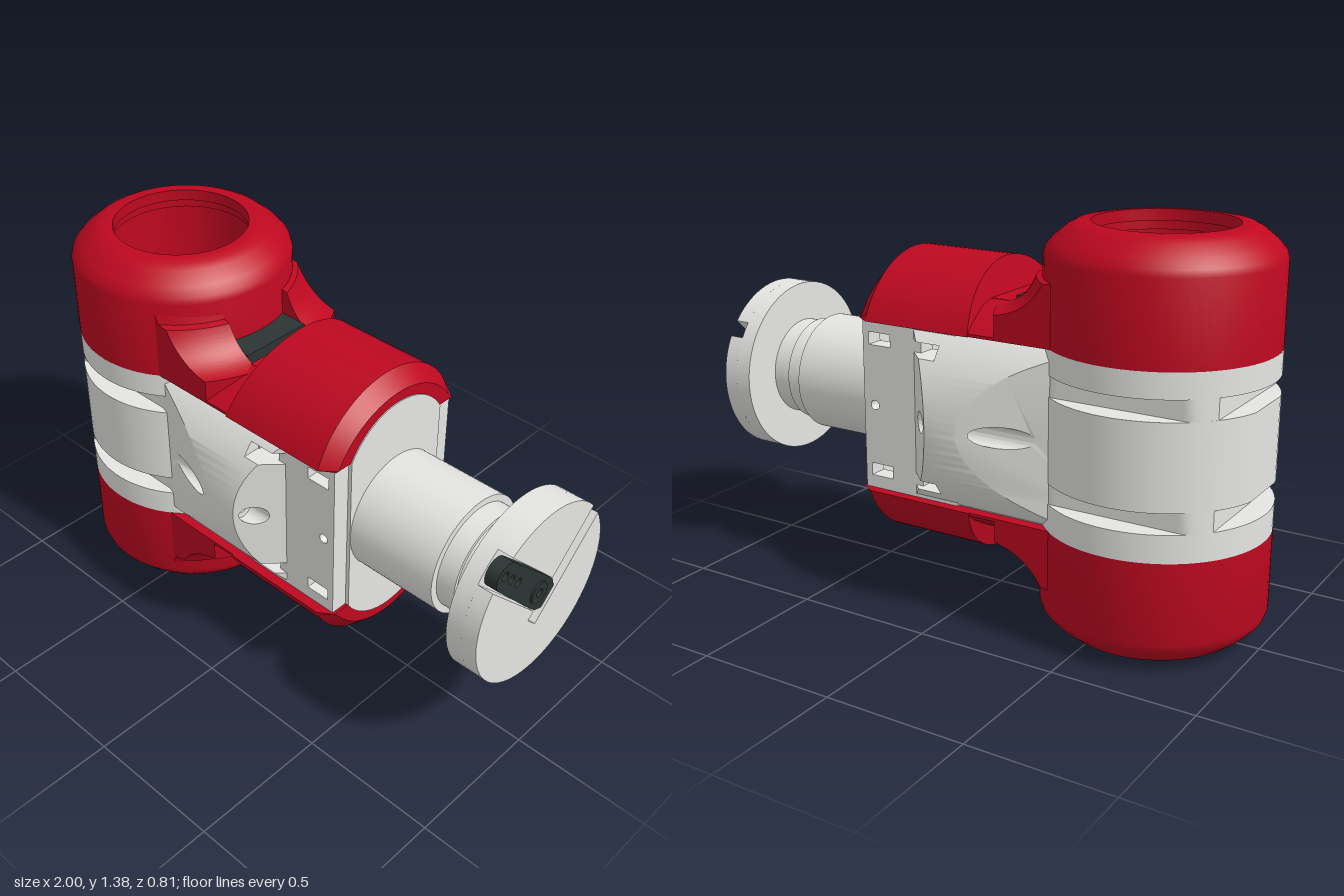
import * as THREE from 'three';
import { toCreasedNormals } from 'three/addons/utils/BufferGeometryUtils.js';

const red = new THREE.MeshStandardMaterial({ color: 0xbe0820 });
red.name = 'red shell';
const grey = new THREE.MeshStandardMaterial({ color: 0xe5e5e3 });
grey.name = 'light grey';
const dark = new THREE.MeshStandardMaterial({ color: 0x2b3533 });
dark.name = 'dark servo';

const CX = -0.615;   // axis of the upright barrel
const AXIS = 0.69;   // height of the output axis
const BORE = 0.26;
const DOME = 0.18;   // centre of the saddle arcs above the output axis

const poly = (pts) => new THREE.Shape(pts.map(([x, y]) => new THREE.Vector2(x, y)));
const extrude = (shape, depth, steps = 1) =>
  new THREE.ExtrudeGeometry(shape, { depth, steps, bevelEnabled: false, curveSegments: 32 });
const lathe = (pts) => new THREE.LatheGeometry(pts.map(([r, y]) => new THREE.Vector2(r, y)), 72);
const hole = (x, y, r) => new THREE.Path().absarc(x, y, r, 0, Math.PI * 2, true);

// Reshape a geometry by a rule on its vertices
function warp(geo, rule) {
  const p = geo.attributes.position, v = new THREE.Vector3();
  for (let i = 0; i < p.count; i++) {
    rule(v.fromBufferAttribute(p, i));
    p.setXYZ(i, v.x, v.y, v.z);
  }
  return geo;
}

// Points on an arc of the given radius about (0, cy), angles in radians
function arc(r, a0, a1, cy = 0, n = 32) {
  return Array.from({ length: n + 1 }, (_, i) => {
    const a = a0 + ((a1 - a0) * i) / n;
    return [r * Math.cos(a), cy + r * Math.sin(a)];
  });
}

export function createModel() {
  const model = new THREE.Group();
  const body = new THREE.Group();   // coordinates relative to the output axis
  body.name = 'jointBody';
  body.position.y = AXIS;
  model.add(body);

  function add(name, geo, mat, parent = body) {
    const m = new THREE.Mesh(toCreasedNormals(geo, 0.55), mat);
    m.name = name;
    parent.add(m);
    return m;
  }
  const box = (x0, x1, y0, y1, z0, z1) => new THREE.BoxGeometry(x1 - x0, y1 - y0, z1 - z0)
    .translate((x0 + x1) / 2, (y0 + y1) / 2, (z0 + z1) / 2);

  // Red shell: the upper half, then the same turned over for the lower half
  for (const s of [1, -1]) {
    const half = new THREE.Group();
    half.name = s > 0 ? 'upperShell' : 'lowerShell';
    if (s < 0) half.rotation.x = Math.PI;
    body.add(half);

    // Hollow barrel end with a rounded rim
    const cap = add('barrelCap', lathe([
      [BORE, 0.305], [0.385, 0.305], [0.385, 0.585], [0.378, 0.608], [0.355, 0.635], [0.31, 0.672],
      [0.285, 0.685], [0.255, 0.69], [0.235, 0.69], [0.235, 0.65], [0.245, 0.65], [0.245, 0.62],
      [BORE, 0.62], [BORE, 0.305],
    ]), red, half);
    cap.position.set(CX, 0, -0.01 * s);

    // Concave neck fillet curving round the barrel, either side of the servo slot
    const neck = poly([[-0.285, 0.305], [-0.07, 0.305], [-0.07, 0.39]]);
    neck.quadraticCurveTo(-0.165, 0.405, -0.205, 0.51);
    neck.lineTo(-0.23, 0.515);
    neck.lineTo(-0.245, 0.575);
    neck.lineTo(-0.285, 0.575);
    // Floor of the neck, falling away towards the flanks
    const floor = [[0.135, 0.305], [0.31, 0.305], [0.31, 0.315], [0.27, 0.345], [0.2, 0.385], [0.135, 0.4]];
    for (const side of [1, -1]) {
      const fillet = extrude(neck, 0.175, 10).translate(0, 0, side > 0 ? 0.135 : -0.31);
      add('neckFillet', warp(fillet, (v) => {
        v.x = CX + Math.sqrt((v.x - CX) ** 2 - v.z ** 2);
      }), red, half);
      const section = poly(floor.map(([z, y]) => [side * z, y]));
      add('neckFloor', extrude(section, 0.355).rotateY(Math.PI / 2).translate(-0.385, 0, 0), red, half);
    }
    add('neckBridge', box(-0.125, -0.02, 0.305, 0.4, -0.14, 0.14), red, half);

    // Domed saddle over the output housing, chamfered at its outer end
    const a = Math.asin((0.305 - DOME) / 0.34);
    const saddle = poly(arc(0.34, a, Math.PI - a, DOME));
    const geo = extrude(saddle, 0.425, 8).rotateY(Math.PI / 2).translate(-0.03, 0, 0);
    add('outputSaddle', warp(geo, (v) => {
      if (v.x > 0.39) {
        v.z *= 0.89;
        if (v.y > 0.31) v.y = Math.max(0.305, DOME + (v.y - DOME) * 0.84);
      } else if (v.x > 0.33) v.x = 0.345;
      else if (v.x < -0.02) v.x = -0.05 + (v.y - 0.4) * 0.2;
    }), red, half);
  }

  // Grey barrel band in layers; the slit layers are cut flat on three sides
  const bands = [
    [-0.305, -0.21, 0.4, 0.4], [-0.21, -0.14, 0.3, 0.305], [-0.14, 0.15, 0.4, 0.37],
    [0.15, 0.22, 0.3, 0.305], [0.22, 0.305, 0.4, 0.4],
  ];
  for (const [y0, y1, zMax, xMax] of bands) {
    const ring = poly(arc(0.385, 0, Math.PI * 2, 0, 96).slice(0, -1).map(([x, z]) =>
      [Math.max(-xMax, x), THREE.MathUtils.clamp(z, -zMax, zMax)]));
    ring.holes.push(hole(0, 0, BORE));
    add('barrelBand', extrude(ring, y1 - y0).rotateX(-Math.PI / 2).translate(CX, y0, -0.01), grey);
  }

  // Pierced side plate of the output housing
  const plate = poly([[0, -0.305], [0.385, -0.305], [0.385, 0.305], [0, 0.305]]);
  for (const x of [0.05, 0.27]) {
    for (const y of [-0.26, 0.215]) {
      plate.holes.push(poly([[x, y], [x, y + 0.045], [x + 0.09, y + 0.045], [x + 0.09, y]]));
    }
  }
  for (const x of [0.15, 0.34]) plate.holes.push(hole(x, 0, 0.017));

  // Ear bands: height range, and the slope of the outer end (none beside the windows)
  const earBands = [
    [-0.305, -0.26, 1], [-0.26, -0.215, 0], [-0.215, 0.215, 1], [0.215, 0.26, 0], [0.26, 0.305, 1],
  ];
  const seat = new THREE.Shape().absarc(0.355, 0, 0.036, 0, Math.PI * 2, false);
  seat.holes.push(hole(0.355, 0, 0.015));

  // Grey side walls, plates and bulging ears, mirrored front and back
  for (const s of [1, -1]) {
    const flank = new THREE.Group();
    flank.name = s > 0 ? 'frontFlank' : 'backFlank';
    body.add(flank);
    add('neckSide', box(-0.42, 0.02, -0.305, 0.305, s > 0 ? 0.2 : -0.27, s > 0 ? 0.27 : -0.2), grey, flank);
    add('piercedPlate', extrude(plate, 0.065).translate(0, 0, s > 0 ? 0.215 : -0.28), grey, flank);

    // Stand a cross-section up along x on this flank
    const onFlank = (shape, depth) => {
      const geo = extrude(shape, depth).rotateY(Math.PI / 2);
      return s > 0 ? geo.rotateY(Math.PI).translate(depth, 0, 0) : geo;
    };
    // Drum segments with sloping end faces, bored for a screw
    for (const [y0, y1, slope] of earBands) {
      const section = poly([[0.255, y0], ...arc(0.405, Math.asin(y0 / 0.405), Math.asin(y1 / 0.405)), [0.255, y1]]);
      if (y0 < 0 && y1 > 0) section.holes.push(hole(0.355, 0, 0.036));
      add('sideEar', warp(onFlank(section, 1), (v) => {
        const drop = 0.405 - Math.abs(v.z);
        v.x = v.x > 0.5 ? 0.045 + drop * slope : -0.075 - drop * 3;
      }), grey, flank);
    }
    add('screwSeat', onFlank(seat, 0.1).translate(-0.06, 0, 0), grey, flank);
  }

  // End plate: straight sides with arched top and bottom
  const e = Math.asin((0.305 - DOME) / 0.25);
  const endShape = poly([...arc(0.25, e, Math.PI - e, DOME), ...arc(0.25, Math.PI + e, 2 * Math.PI - e, -DOME)]);
  add('endPlate', extrude(endShape, 0.03).rotateY(Math.PI / 2).translate(0.369, 0, 0), grey);

  // Output shaft and the back of its flange
  add('outputShaft', lathe([
    [0, 0.38], [0.215, 0.38], [0.215, 0.74], [0.19, 0.74], [0.19, 0.81], [0.178, 0.81],
    [0.178, 0.885], [0.32, 0.885], [0.32, 0.945], [0, 0.945],
  ]).rotateZ(-Math.PI / 2), grey);

  // Flange face in two pieces, leaving channels for the horn and a side slot
  const R = 0.32, W = 0.06;
  const onFlange = (geo, x) => geo.rotateZ(Math.PI / 4).rotateY(Math.PI / 2).translate(x, 0, 0);
  const large = poly([[-0.095, -0.085],
    ...arc(R, 2 * Math.PI - Math.asin(0.085 / R), Math.PI / 2 + Math.asin(W / R), 0, 48),
    [-W, -0.025], [-0.095, -0.025]]);
  const small = poly([[W, -0.025], ...arc(R, -Math.asin(0.025 / R), Math.acos(W / R))]);
  for (const shape of [large, small]) add('flangeFace', onFlange(extrude(shape, 0.055), 0.945), grey);

  // Servo horn lying in its channel
  const horn = poly([[-0.04, -0.085], [0.04, -0.085], [0.058, -0.05], [0.058, 0.03],
    ...arc(0.05, 0, Math.PI, 0.263, 16), [-0.058, 0.03], [-0.058, -0.05]]);
  for (const y of [0, 0.17, 0.225, 0.275]) horn.holes.push(hole(0, y, 0.016));
  add('servoHorn', onFlange(extrude(horn, 0.045), 0.946), dark);
  const hub = new THREE.Shape().absarc(0, 0, 0.04, 0, Math.PI * 2, false);
  hub.holes.push(hole(0, 0, 0.016));
  add('hornHub', onFlange(extrude(hub, 0.007), 0.991), dark);

  // Servo inside the barrel, with drilled mounting tabs
  const servo = new THREE.Group();
  servo.name = 'servo';
  body.add(servo);
  add('servoCase', box(-0.725, -0.145, -0.1, 0.42, -0.135, 0.135), dark, servo);
  const tab = poly([[-0.84, -0.14], [-0.12, -0.14], [-0.12, 0.14], [-0.84, 0.14]]);
  for (const z of [-0.08, 0.08]) tab.holes.push(hole(-0.785, z, 0.024));
  add('servoTabs', extrude(tab, 0.04).rotateX(-Math.PI / 2).translate(0, 0.3, 0), dark, servo);
  for (const [r, y] of [[0.105, 0.435], [0.05, 0.455], [0.03, 0.475]]) {
    add('servoGearHub', new THREE.CylinderGeometry(r, r, 0.06, 32).translate(CX, y - 0.03, 0), dark, servo);
  }
  return model;
}
